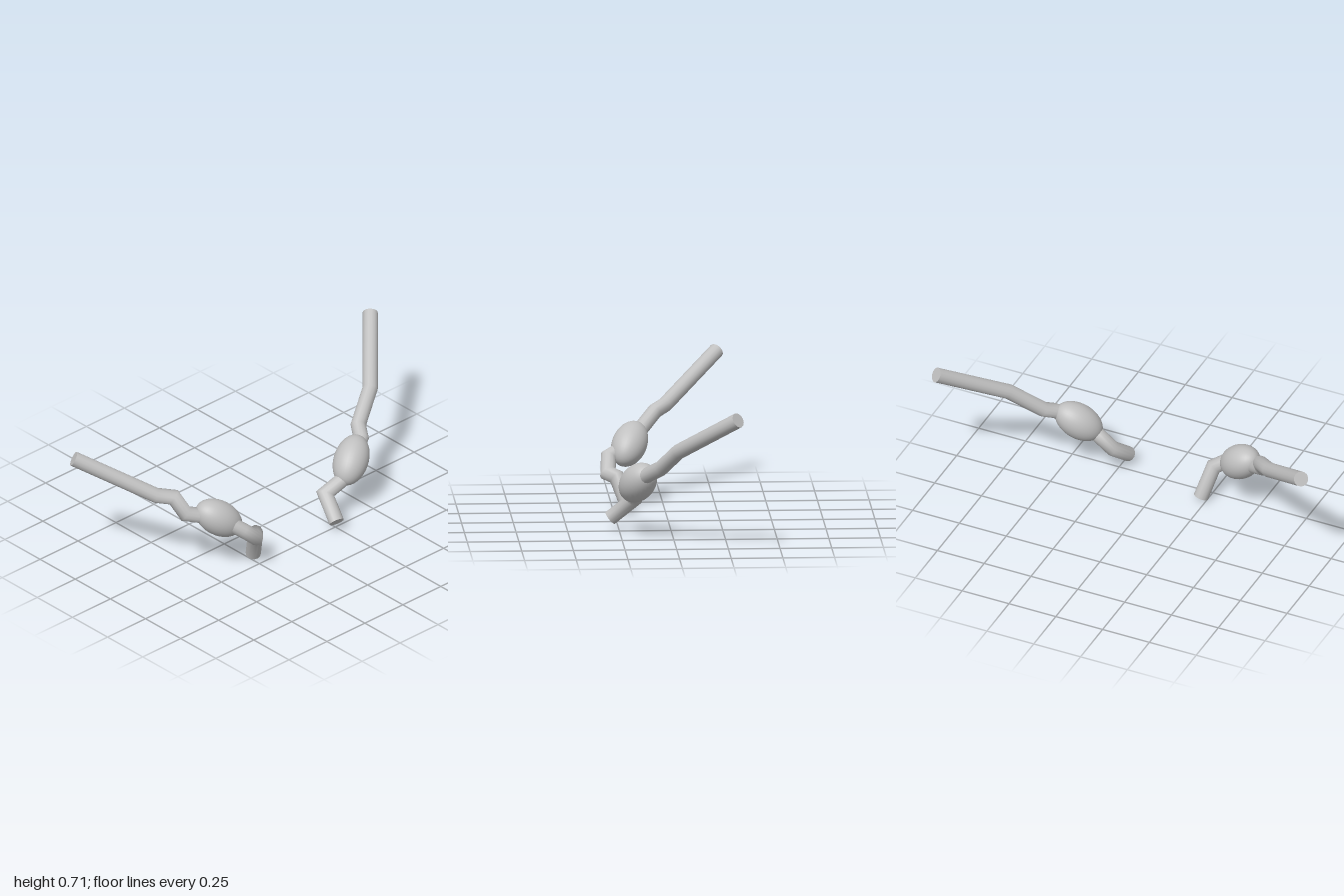
import * as THREE from 'three';

const grey = new THREE.MeshStandardMaterial({ color: 0xc0c0c0 });
grey.name = 'plain grey';
const SIDES = 14, RADIUS = 0.037;
const V = (p) => new THREE.Vector3(...p);

// Round tube along a bent path: each ring slides along its segment onto the mitre plane of the next bend.
function mitredTube(points) {
  const pts = points.map(V);
  const dirs = pts.slice(1).map((p, i) => p.clone().sub(pts[i]).normalize());
  const side = new THREE.Vector3(0, 1, 0).cross(dirs[0]).normalize();
  const up = dirs[0].clone().cross(side);
  let ring = [];
  for (let j = 0; j < SIDES; j++) {
    const a = (j / SIDES) * Math.PI * 2;
    ring.push(pts[0].clone().addScaledVector(side, Math.cos(a) * RADIUS).addScaledVector(up, Math.sin(a) * RADIUS));
  }
  const rings = [ring];
  for (let i = 1; i < pts.length; i++) {
    const d = dirs[i - 1];
    const n = d.clone().add(dirs[i] || d).normalize();
    ring = ring.map((p) => p.clone().addScaledVector(d, pts[i].clone().sub(p).dot(n) / d.dot(n)));
    rings.push(ring);
  }

  const pos = [], index = [];
  const add = (p) => pos.push(p.x, p.y, p.z) / 3 - 1;
  rings.forEach((r) => r.forEach(add));
  for (let i = 0; i < rings.length - 1; i++) {
    for (let j = 0; j < SIDES; j++) {
      const a = i * SIDES + j, b = i * SIDES + (j + 1) % SIDES;
      index.push(a, b, b + SIDES, a, b + SIDES, a + SIDES);
    }
  }
  // Flat end caps with their own vertices
  [[rings[0], pts[0], true], [ring, pts[pts.length - 1], false]].forEach(([r, c, start]) => {
    const centre = add(c), first = centre + 1;
    r.forEach(add);
    for (let j = 0; j < SIDES; j++) {
      const a = first + j, b = first + (j + 1) % SIDES;
      index.push(centre, start ? b : a, start ? a : b);
    }
  });
  const g = new THREE.BufferGeometry();
  g.setAttribute('position', new THREE.Float32BufferAttribute(pos, 3));
  g.setIndex(index);
  g.computeVertexNormals();
  return g;
}

// One limb: bent tube with an egg-shaped bulge along its axis
function limb(name, path, centre, axis) {
  const g = new THREE.Group();
  g.name = name;
  const tube = new THREE.Mesh(mitredTube(path), grey);
  tube.name = 'bentTube';
  const bulge = new THREE.Mesh(new THREE.SphereGeometry(1, 32, 20), grey);
  bulge.name = 'bulge';
  bulge.scale.set(0.085, 0.131, 0.085);
  bulge.position.copy(V(centre));
  bulge.quaternion.setFromUnitVectors(new THREE.Vector3(0, 1, 0), V(axis).normalize());
  g.add(tube, bulge);
  return g;
}

export function createModel() {
  const model = new THREE.Group();
  model.name = 'limbPair';
  model.add(
    limb('leftLimb', [
      [0.975, 0.674, -0.285], [0.72, 0.475, -0.01], [0.57, 0.365, 0.068],
      [0.535, 0.33, 0.125], [0.42, 0.265, 0.18], [0.335, 0.2, 0.195],
      [0.25, 0.157, 0.178], [0.22, 0.06, 0.292],
    ], [0.428, 0.271, 0.17], [0.72, 0.6, -0.35]),
    limb('rightLimb', [
      [-0.975, 0.655, -0.288], [-0.68, 0.445, -0.022], [-0.61, 0.428, 0.03],
      [-0.59, 0.355, 0.092], [-0.44, 0.3, 0.16], [-0.375, 0.25, 0.268],
      [-0.3, 0.182, 0.275], [-0.262, 0.17, 0.235], [-0.222, 0.016, 0.176],
    ], [-0.438, 0.3, 0.163], [-0.72, 0.6, -0.35]),
  );
  return model;
}
